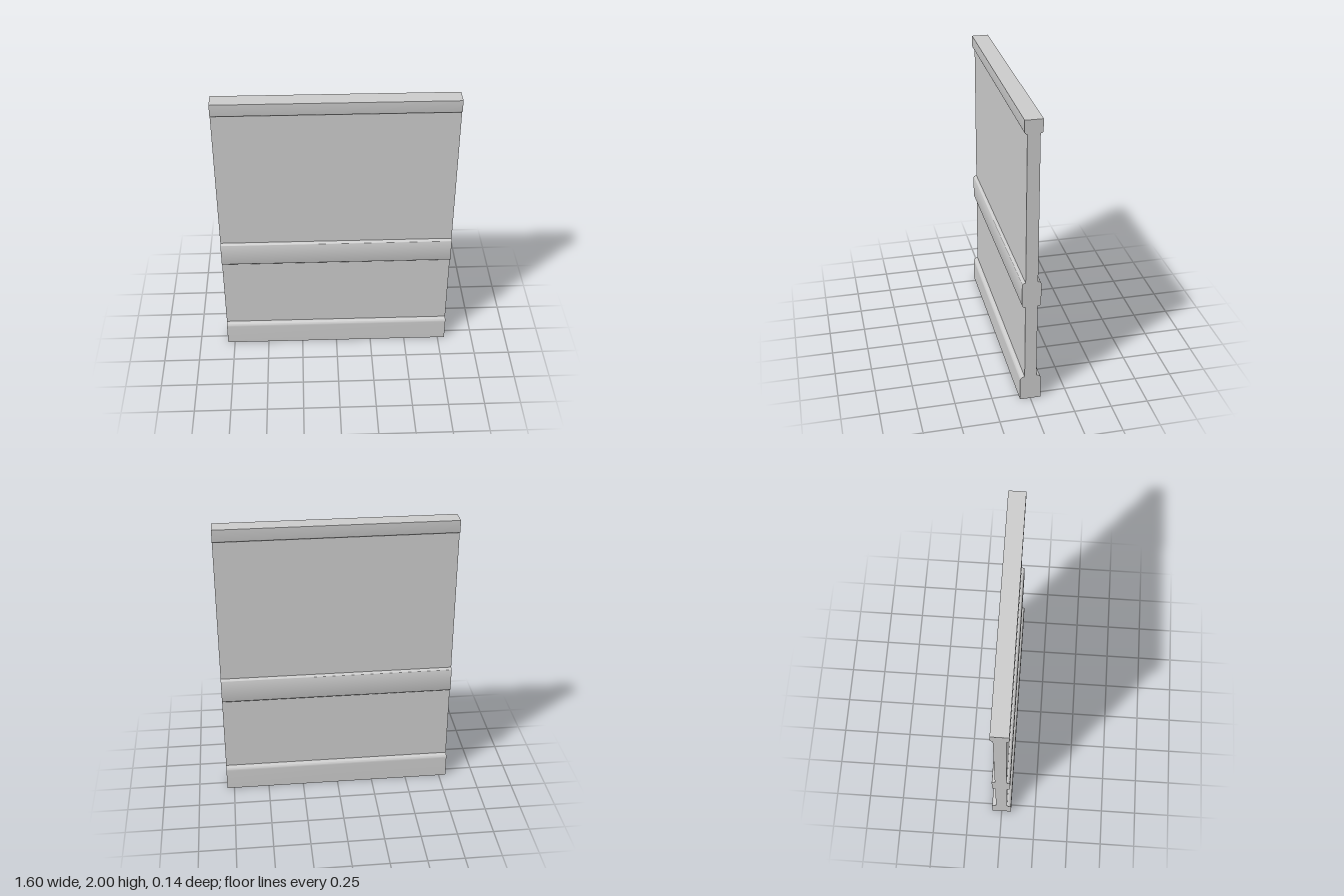
import * as THREE from 'three';
import { toCreasedNormals } from 'three/addons/utils/BufferGeometryUtils.js';

const WIDTH = 1.6;
const WALL = 0.04; // half thickness of the wall

// Symmetric cross-section with rounded top and bottom edges, run along x
function strip(name, y0, y1, half, topRound, bottomRound, material) {
  const t = topRound, b = bottomRound;
  const s = new THREE.Shape();
  s.moveTo(-half + b, y0);
  s.lineTo(half - b, y0);
  if (b) s.absarc(half - b, y0 + b, b, -Math.PI / 2, 0, false);
  s.lineTo(half, y1 - t);
  if (t) s.absarc(half - t, y1 - t, t, 0, Math.PI / 2, false);
  else s.lineTo(half, y1);
  s.lineTo(-half + t, y1);
  if (t) s.absarc(-half + t, y1 - t, t, Math.PI / 2, Math.PI, false);
  s.lineTo(-half, y0 + b);
  if (b) s.absarc(-half + b, y0 + b, b, Math.PI, Math.PI * 1.5, false);

  const extruded = new THREE.ExtrudeGeometry(s, { depth: WIDTH, bevelEnabled: false, curveSegments: 6 });
  extruded.translate(0, 0, -WIDTH / 2);
  extruded.rotateY(Math.PI / 2);
  const mesh = new THREE.Mesh(toCreasedNormals(extruded, 0.6), material);
  mesh.name = name;
  return mesh;
}

export function createModel() {
  const group = new THREE.Group();
  group.name = 'wallPanel';
  const material = new THREE.MeshStandardMaterial({ color: 0xcccccc });

  group.add(
    // Mouldings, the same on both faces
    strip('baseboard', 0, 0.18, 0.07, 0.028, 0, material),
    strip('chairRail', 0.72, 0.9, 0.062, 0.018, 0.018, material),
    strip('topMoulding', 1.91, 2, 0.057, 0, 0.015, material),
    // Plain wall between the mouldings
    strip('lowerWall', 0.18, 0.72, WALL, 0, 0, material),
    strip('upperWall', 0.9, 1.91, WALL, 0, 0, material),
  );
  return group;
}
